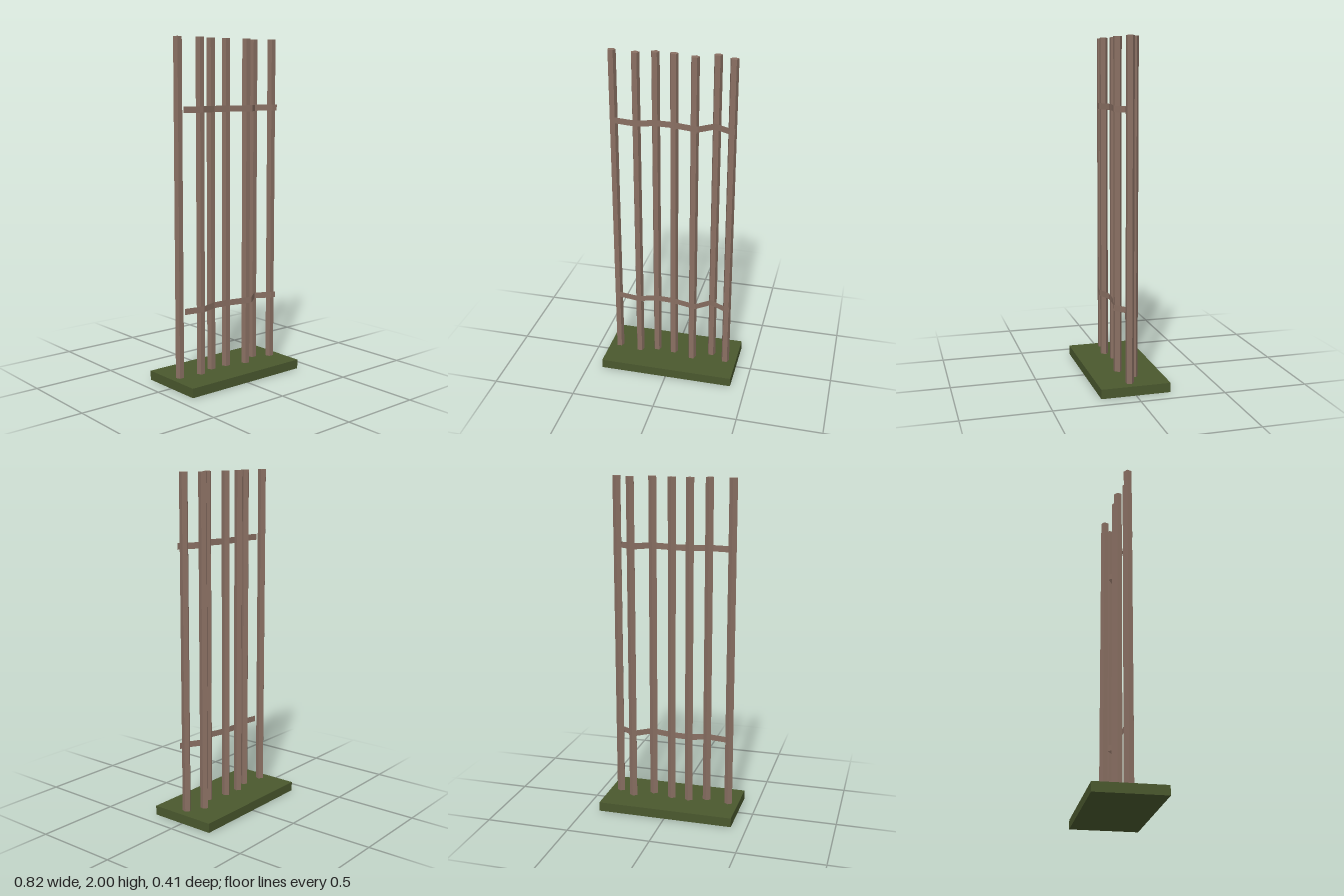
import * as THREE from 'three';

const wood = new THREE.MeshStandardMaterial({ color: 0x8a7063, flatShading: true });
wood.name = 'weathered wood';
const binding = new THREE.MeshStandardMaterial({ color: 0x8a7063, flatShading: true, side: THREE.DoubleSide });
binding.name = 'wood strip';
const moss = new THREE.MeshStandardMaterial({ color: 0x4a582e, flatShading: true });
moss.name = 'moss green';

const BASE_H = 0.055, HEIGHT = 2, POST_R = 0.025;

// x, z of each upright
const POSTS = [
  [-0.348, 0.005], [-0.208, 0.025], [-0.103, -0.009], [0.005, -0.002],
  [0.13, 0.033], [0.243, -0.032], [0.341, 0.02],
];

// x, z path of the strip woven across the front of the uprights
const STRIP = [
  [-0.332, 0.034], [-0.205, 0.055], [-0.1, 0.021], [0.008, 0.028],
  [0.153, 0.063], [0.237, -0.006], [0.33, 0.045], [0.361, 0.05],
];

// Thin open ribbon following the path between two heights
function ribbon(path, y0, y1) {
  const pos = [], idx = [];
  path.forEach(([x, z], i) => {
    pos.push(x, y0, z, x, y1, z);
    if (i < path.length - 1) {
      const a = i * 2;
      idx.push(a, a + 2, a + 3, a, a + 3, a + 1);
    }
  });
  const g = new THREE.BufferGeometry();
  g.setAttribute('position', new THREE.Float32BufferAttribute(pos, 3));
  g.setIndex(idx);
  const flat = g.toNonIndexed();
  flat.computeVertexNormals();
  return flat;
}

export function createModel() {
  const model = new THREE.Group();
  model.name = 'poleFence';

  // Ground slab
  const base = new THREE.Mesh(new THREE.BoxGeometry(0.816, BASE_H, 0.408), moss);
  base.name = 'base';
  base.position.y = BASE_H / 2;
  model.add(base);

  // Five-sided uprights, one corner pointing to the back
  const postLen = HEIGHT - 0.02;
  const postGeo = new THREE.CylinderGeometry(POST_R, POST_R, postLen, 5);
  postGeo.rotateY(Math.PI);
  POSTS.forEach(([x, z], i) => {
    const post = new THREE.Mesh(postGeo, wood);
    post.name = `post${i + 1}`;
    post.position.set(x, HEIGHT - postLen / 2, z);
    model.add(post);
  });

  // Two cross strips
  [['lowerStrip', 0.448], ['upperStrip', 1.598]].forEach(([name, y]) => {
    const strip = new THREE.Mesh(ribbon(STRIP, y - 0.018, y + 0.018), binding);
    strip.name = name;
    model.add(strip);
  });

  return model;
}
